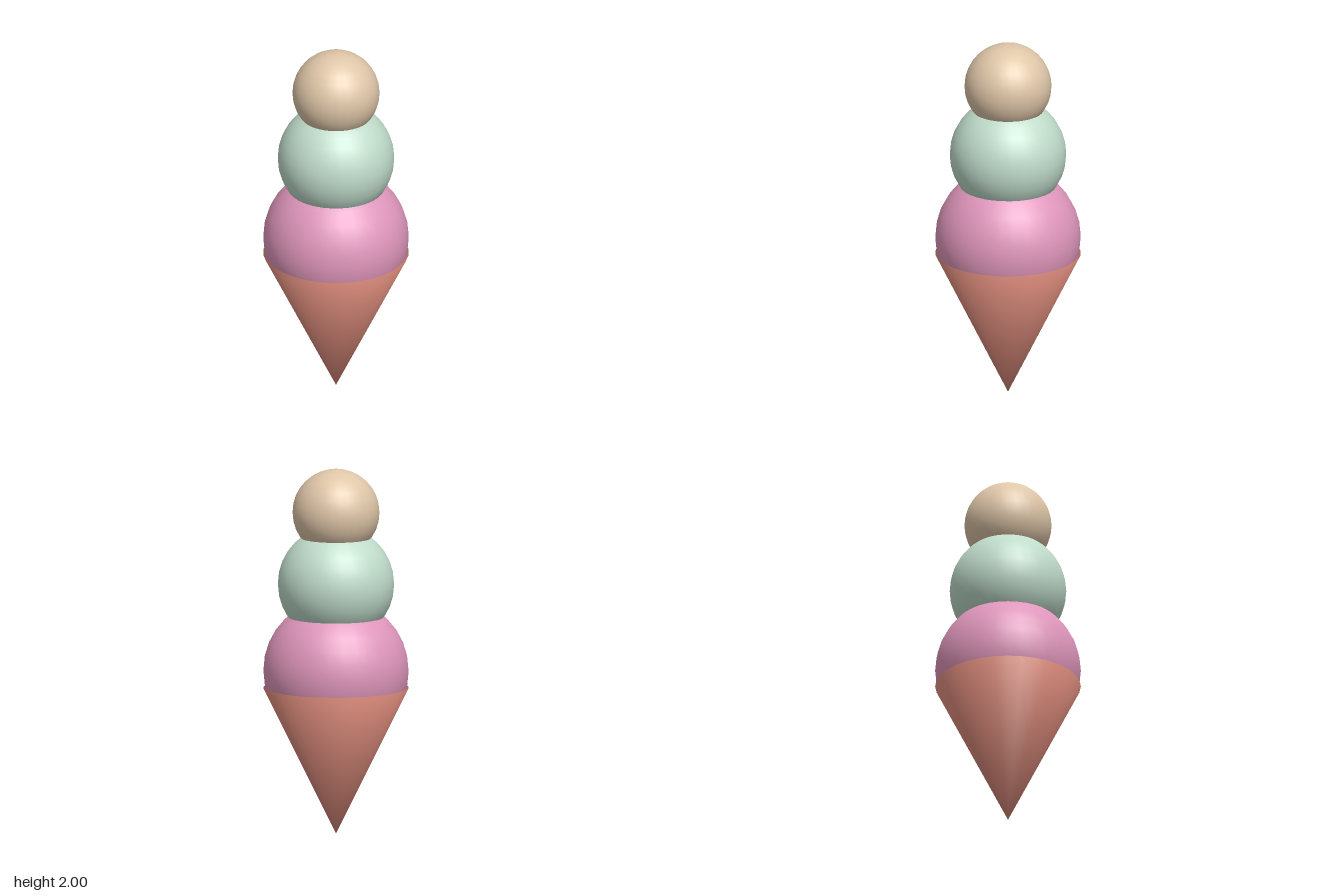
import * as THREE from 'three';
import { mergeVertices } from 'three/addons/utils/BufferGeometryUtils.js';

const SIDES = 32;

function addPart(group, name, geometry, color, y) {
  const mesh = new THREE.Mesh(geometry, new THREE.MeshStandardMaterial({ color }));
  mesh.name = name;
  mesh.position.y = y;
  group.add(mesh);
}

// Closed cone, tip down, with normals blended across the tip and the rim
function smoothCone(radius, height) {
  const cone = new THREE.ConeGeometry(radius, height, SIDES, 1);
  cone.rotateX(Math.PI);
  cone.deleteAttribute('normal');
  cone.deleteAttribute('uv');
  const merged = mergeVertices(cone, 1e-4);
  merged.computeVertexNormals();
  return merged;
}

export function createModel() {
  const group = new THREE.Group();
  group.name = 'iceCream';

  // Wafer cone
  addPart(group, 'cone', smoothCone(0.396, 0.8), 0xe28f7f, 0.4);

  // Three stacked scoops, shrinking upwards
  const scoops = [
    ['bottomScoop', 0.396, 0.893, 0xdf96bb],
    ['middleScoop', 0.317, 1.37, 0xc0dccb],
    ['topScoop', 0.237, 1.763, 0xdfc6a8],
  ];
  for (const [name, radius, y, color] of scoops) {
    addPart(group, name, new THREE.SphereGeometry(radius, SIDES, 16), color, y);
  }
  return group;
}
